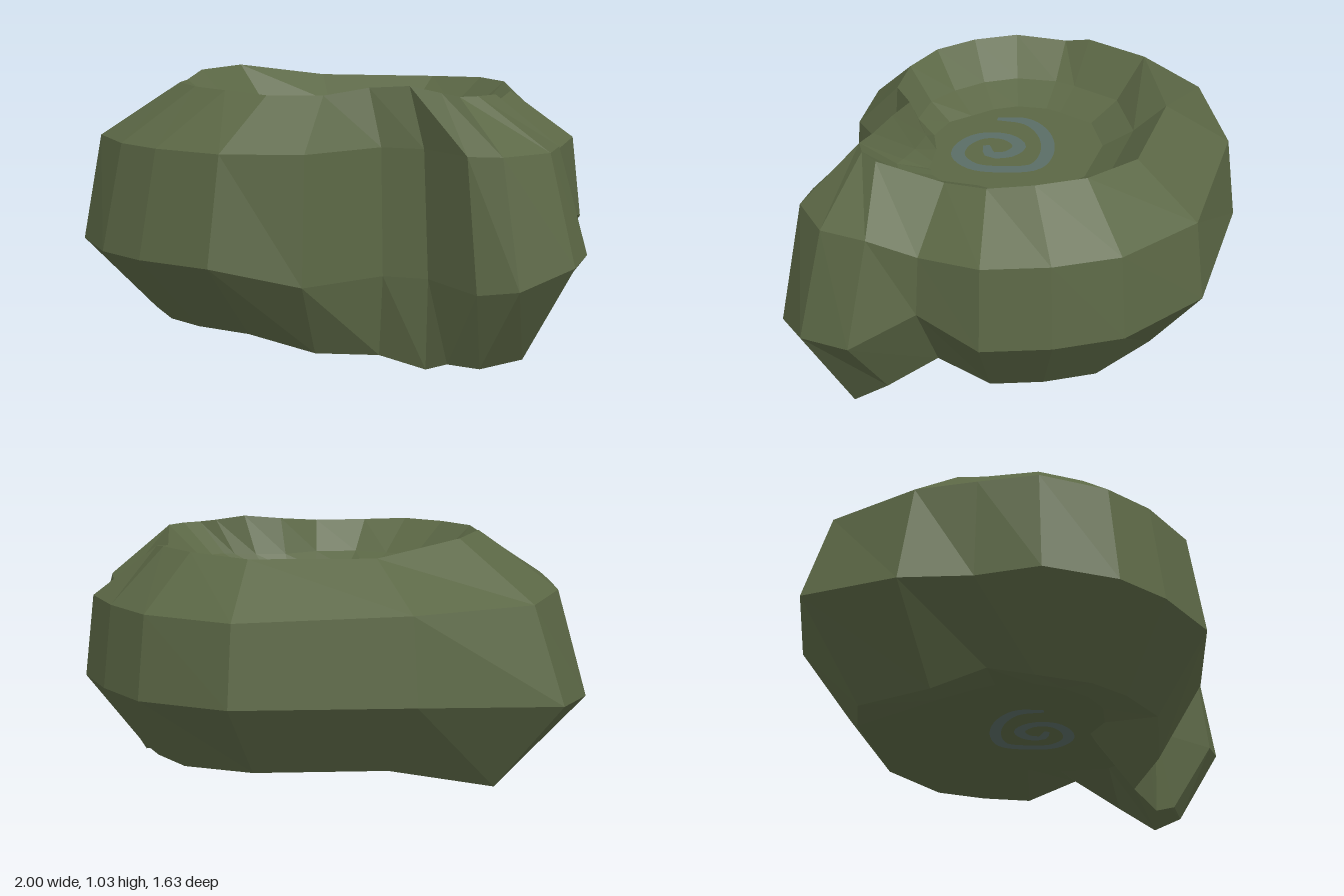
import * as THREE from 'three';

// Widest outline round the coil: x, y, z
const outline = [
  [0.31, 0.49, -0.82], [0.65, 0.48, -0.64], [0.81, 0.48, -0.43], [0.92, 0.48, -0.2],
  [0.87, 0.54, 0.06], [1.0, 0.42, 0.27], [0.98, 0.41, 0.47], [0.81, 0.35, 0.64],
  [0.66, 0.33, 0.64], [0.45, 0.34, 0.46], [0.28, 0.34, 0.45], [0.05, 0.34, 0.72],
  [-0.27, 0.41, 0.81], [-0.56, 0.41, 0.72], [-0.75, 0.41, 0.6], [-0.92, 0.41, 0.37],
  [-0.92, 0.41, 0.13], [-1.0, 0.4, -0.12], [-0.88, 0.45, -0.53], [-0.35, 0.49, -0.75],
];
// Top rim of the basin: x, y, z
const rimPoints = [
  [0.26, 0.98, -0.54], [0.48, 0.99, -0.43], [0.6, 0.99, -0.28], [0.65, 0.97, -0.12],
  [0.63, 0.95, 0.05], [0.66, 1.0, 0.3], [0.61, 1.0, 0.38], [0.55, 1.0, 0.42],
  [0.48, 1.01, 0.4], [0.36, 1.03, 0.38], [0.21, 1.02, 0.38], [0.07, 1.0, 0.5],
  [-0.13, 1.0, 0.54], [-0.3, 1.01, 0.5], [-0.45, 1.01, 0.4], [-0.56, 1.01, 0.26],
  [-0.6, 1.0, 0.06], [-0.58, 1.03, -0.05], [-0.5, 1.03, -0.31], [-0.2, 0.98, -0.5],
];
// Underside edge: height, shrink towards the centre
const under = [
  [0.21, 0.74], [0.2, 0.76], [0.2, 0.76], [0.2, 0.76], [0.27, 0.82], [0.16, 0.8], [0.04, 0.79],
  [0.03, 0.79], [0.04, 0.79], [0, 0.98], [0.03, 0.9], [0.06, 0.76], [0.13, 0.74], [0.13, 0.74],
  [0.13, 0.74], [0.13, 0.74], [0.18, 0.74], [0.1, 0.74], [0.11, 0.74], [0.21, 0.74],
];
// Shoulder: shrink of the outline at each station
const shoulderScale = [
  0.955, 0.96, 0.96, 0.96, 0.97, 0.88, 0.89, 0.9, 0.92, 0.94,
  0.94, 0.95, 0.92, 0.92, 0.92, 0.93, 0.95, 0.89, 0.88, 0.955,
];
const CX = 0.05, FLOOR_Y = 0.82, BASE_Y = 0.24;

// Moves a ring towards the coil's centre at a new height
const toCentre = (points, y, scale) => points.map(([px, , pz], i) => {
  const s = scale(i);
  return [CX + (px - CX) * s, y(i), pz * s];
});
// 1 at the notch where the coil's ends meet, fading to 0 three stations away
const notch = (i) => Math.max(0, 1 - Math.abs(i - 10) / 3);

function makeMesh(name, positions, index, material) {
  const g = new THREE.BufferGeometry();
  g.setAttribute('position', new THREE.Float32BufferAttribute(positions, 3));
  if (index) g.setIndex(index);
  g.computeVertexNormals();
  const mesh = new THREE.Mesh(g, material);
  mesh.name = name;
  return mesh;
}

// Faceted skin between consecutive rings, listed from below upwards
function skin(name, rings, material) {
  const pos = [];
  const n = outline.length;
  for (let k = 0; k < rings.length - 1; k++) {
    for (let i = 0; i < n; i++) {
      const j = (i + 1) % n;
      const a = rings[k][i], b = rings[k][j], c = rings[k + 1][j], d = rings[k + 1][i];
      pos.push(...a, ...d, ...c, ...a, ...c, ...b);
    }
  }
  return makeMesh(name, pos, null, material);
}

// Flat painted spiral ribbon, facing up (side 1) or down (side -1)
function spiral(name, y, scale, side, material) {
  const path = new THREE.CatmullRomCurve3([
    [-0.15, 0.175], [-0.17, 0.06], [-0.09, -0.045], [0.06, -0.115], [0.18, -0.11],
    [0.24, -0.01], [0.26, 0.1], [0.2, 0.19], [0.1, 0.21], [0.01, 0.17],
    [-0.015, 0.08], [0.04, 0.005], [0.12, 0.02], [0.145, 0.08], [0.08, 0.125],
  ].map(([x, z]) => new THREE.Vector3(x, 0, z)));
  const pos = [], index = [], steps = 60;
  for (let i = 0; i <= steps; i++) {
    const p = path.getPointAt(i / steps), t = path.getTangentAt(i / steps);
    const w = 0.026 * Math.min(1, 0.5 + (steps - i) / 8, 0.5 + i / 8);
    for (const e of [-w, w]) {
      pos.push(CX + (p.x - t.z * e - CX) * scale, y, (p.z + t.x * e) * scale);
    }
    if (i < steps) {
      const a = i * 2;
      if (side > 0) index.push(a, a + 1, a + 2, a + 1, a + 3, a + 2);
      else index.push(a, a + 2, a + 1, a + 1, a + 2, a + 3);
    }
  }
  return makeMesh(name, pos, index, material);
}

export function createModel() {
  const group = new THREE.Group();
  group.name = 'coiledShell';
  const green = new THREE.MeshStandardMaterial({ color: 0x5b6745 });
  green.name = 'mossGreen';
  green.flatShading = true;
  const blue = new THREE.MeshStandardMaterial({ color: 0x5a6d66 });
  blue.name = 'greyBlue';
  blue.side = THREE.DoubleSide;

  // Cross-section rings
  const baseCentre = toCentre(outline, () => BASE_Y, () => 0);
  const baseDisc = toCentre(rimPoints, () => BASE_Y, (i) => (i >= 4 && i <= 8 ? 0.8 : 0.68));
  const bottom = toCentre(outline, (i) => under[i][0], (i) => under[i][1]);
  const shoulder = toCentre(outline, (i) => (i === 4 ? 0.76 : i < 4 ? 0.79 : 0.81), (i) => shoulderScale[i]);
  const basinWall = toCentre(rimPoints, () => 0.88, (i) => 0.78 + 0.08 * notch(i));
  const basinFloor = toCentre(rimPoints, () => FLOOR_Y, (i) => 0.57 + 0.2 * notch(i));
  const basinCentre = toCentre(outline, () => FLOOR_Y, () => 0);

  group.add(
    skin('underside', [baseCentre, baseDisc, bottom], green),
    skin('outerCoil', [bottom, outline, shoulder, rimPoints], green),
    skin('topBasin', [rimPoints, basinWall, basinFloor, basinCentre], green),
    spiral('topSpiral', FLOOR_Y + 0.006, 1, 1, blue),
    spiral('undersideSpiral', BASE_Y - 0.006, 0.85, -1, blue),
  );
  return group;
}
